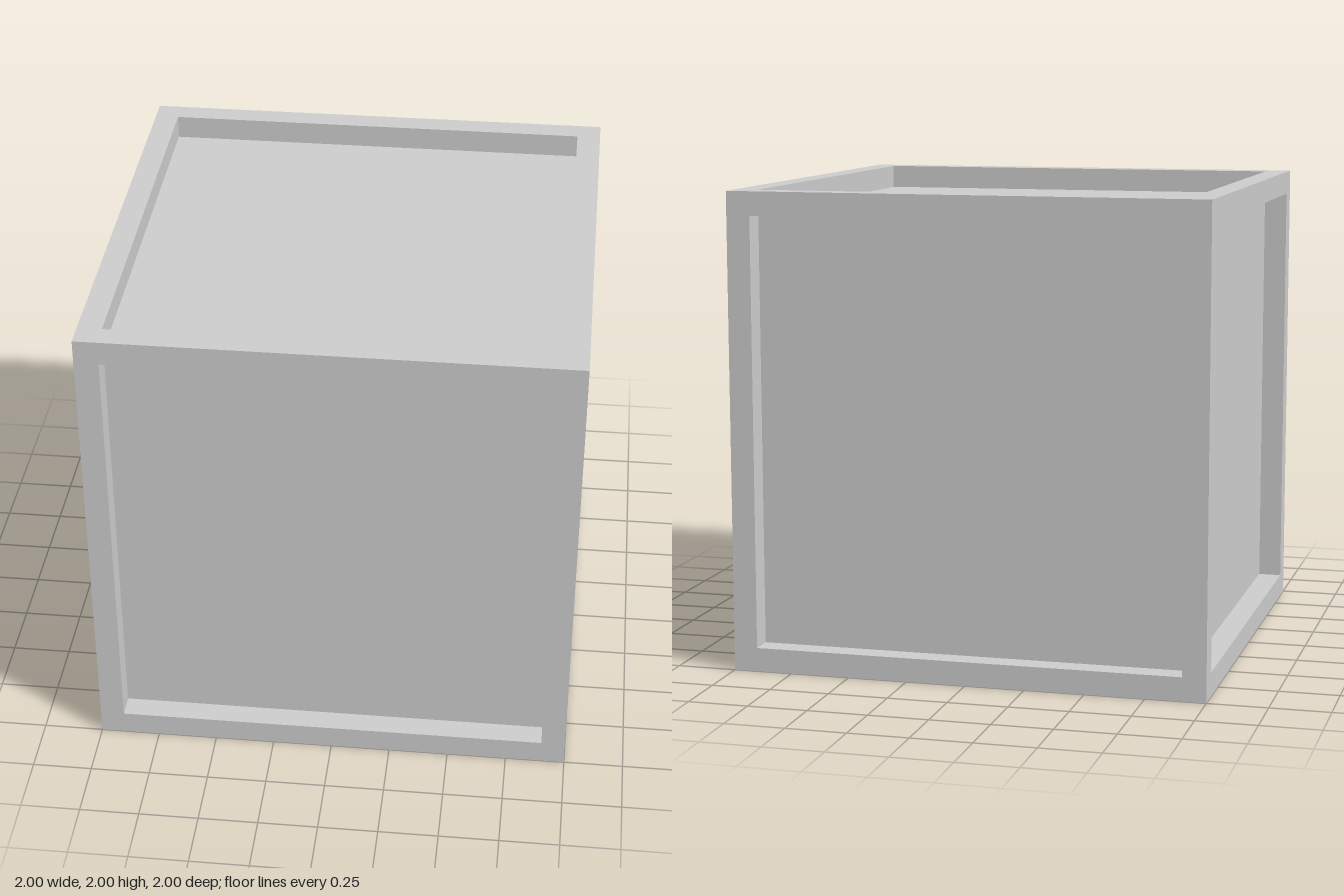
import * as THREE from 'three';
import { mergeGeometries } from 'three/addons/utils/BufferGeometryUtils.js';

const HALF = 1;      // half the cube's side
const BEAM = 0.1;    // width of the frame and depth of the recesses
const INNER = HALF - BEAM;

// One side of the frame, facing +z: a square rim and the four walls of its recess
function frameSide() {
  const rim = new THREE.Shape([[-1, -1], [1, -1], [1, 1], [-1, 1]]
    .map(([x, y]) => new THREE.Vector2(x * HALF, y * HALF)));
  rim.holes.push(new THREE.Path([[-1, -1], [-1, 1], [1, 1], [1, -1]]
    .map(([x, y]) => new THREE.Vector2(x * INNER, y * INNER))));
  const parts = [new THREE.ShapeGeometry(rim).translate(0, 0, HALF)];
  for (let i = 0; i < 4; i++) {
    parts.push(new THREE.PlaneGeometry(2 * INNER, BEAM)
      .rotateX(-Math.PI / 2)
      .translate(0, -INNER, HALF - BEAM / 2)
      .rotateZ(i * Math.PI / 2));
  }
  return mergeGeometries(parts);
}

export function createModel() {
  const group = new THREE.Group();
  group.name = 'framedCube';
  const material = new THREE.MeshStandardMaterial({ color: 0xcccccc });

  // Frame: the same side turned to all six directions
  const sides = [];
  for (let i = 0; i < 4; i++) sides.push(frameSide().rotateY(i * Math.PI / 2));
  for (const s of [-1, 1]) sides.push(frameSide().rotateX(s * Math.PI / 2));
  const frame = new THREE.Mesh(mergeGeometries(sides), material);
  frame.name = 'frame';

  // Core: its faces are the recessed panels
  const core = new THREE.Mesh(new THREE.BoxGeometry(2 * INNER, 2 * INNER, 2 * INNER), material);
  core.name = 'recessedPanels';

  for (const mesh of [frame, core]) {
    mesh.position.y = HALF;
    group.add(mesh);
  }
  return group;
}
